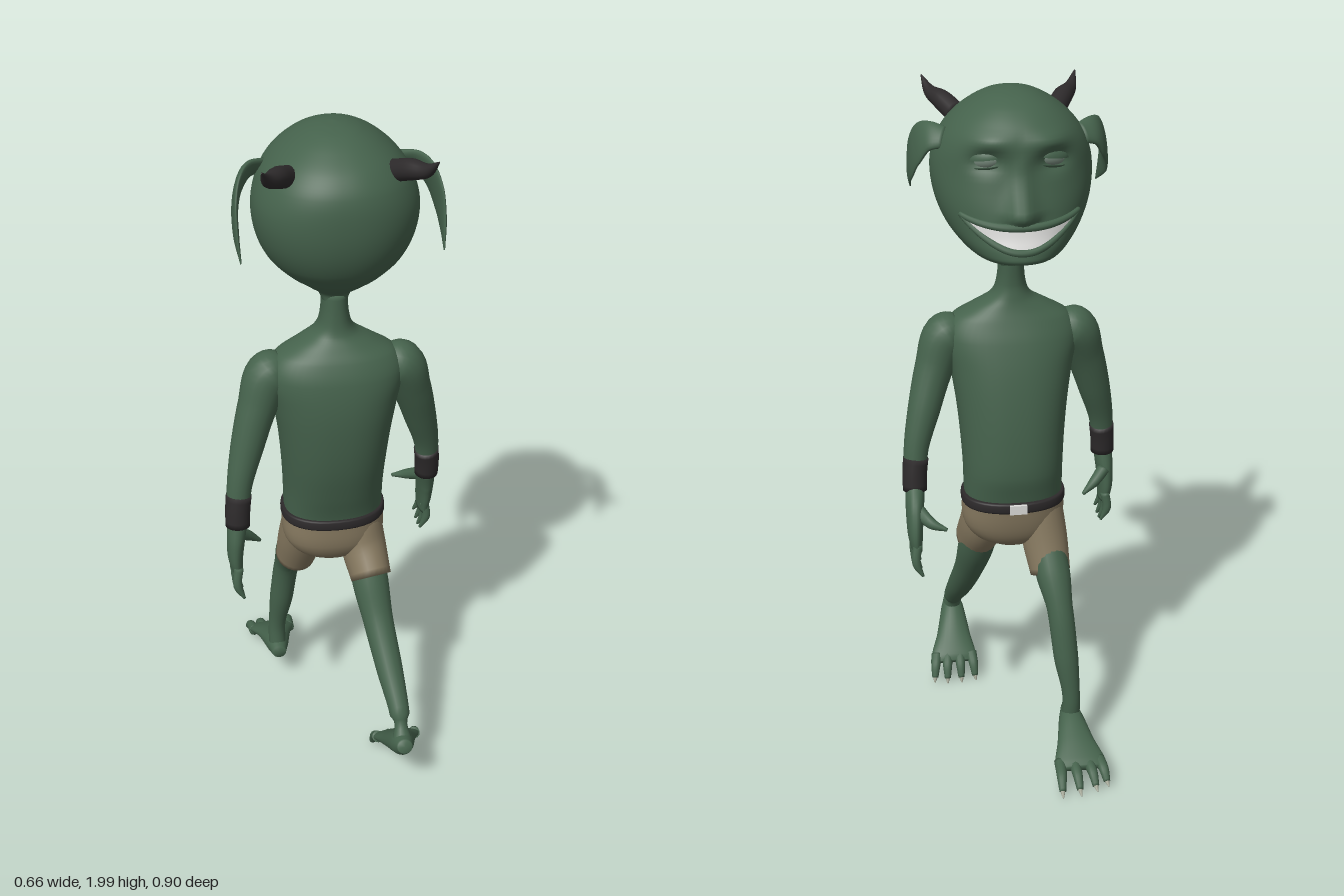
import * as THREE from 'three';

const mat = (name, color, side = THREE.FrontSide) => {
  const m = new THREE.MeshStandardMaterial({ color, side });
  m.name = name;
  return m;
};
const V = (x, y, z) => new THREE.Vector3(x, y, z);

// Smooth surface from rows x cols points; closed surfaces wrap round and get end caps.
function surface(rows, cols, point, closed = true) {
  const pos = [], idx = [];
  for (let i = 0; i < rows; i++) for (let j = 0; j < cols; j++) pos.push(...point(i, j).toArray());
  const at = (i, j) => i * cols + (j % cols);
  for (let i = 0; i < rows - 1; i++)
    for (let j = 0; j < (closed ? cols : cols - 1); j++)
      idx.push(at(i, j), at(i, j + 1), at(i + 1, j + 1), at(i, j), at(i + 1, j + 1), at(i + 1, j));
  if (closed) for (const i of [0, rows - 1]) {
    const c = V(0, 0, 0), n = pos.length / 3;
    for (let j = 0; j < cols; j++) c.add(point(i, j));
    pos.push(...c.divideScalar(cols).toArray());
    for (let j = 0; j < cols; j++) i ? idx.push(at(i, j), at(i, j + 1), n) : idx.push(at(i, j + 1), at(i, j), n);
  }
  const g = new THREE.BufferGeometry();
  g.setAttribute('position', new THREE.Float32BufferAttribute(pos, 3));
  g.setIndex(idx);
  g.computeVertexNormals();
  return g;
}

// Tapered tube through [x, y, z, radius along ref, radius across].
function limb(pts, ref, cols = 20, steps = 6) {
  const path = new THREE.CatmullRomCurve3(pts.map(p => V(p[0], p[1], p[2])));
  const radii = new THREE.CatmullRomCurve3(pts.map(p => V(p[3], p[4] ?? p[3], 0)));
  const rows = (pts.length - 1) * steps + 1;
  const rings = Array.from({ length: rows }, (_, i) => {
    const t = i / (rows - 1), d = path.getTangent(t);
    const u = ref.clone().addScaledVector(d, -ref.dot(d)).normalize();
    return { c: path.getPoint(t), r: radii.getPoint(t), u, v: d.clone().cross(u) };
  });
  return surface(rows, cols, (i, j) => {
    const a = j / cols * Math.PI * 2, { c, r, u, v } = rings[i];
    return c.clone().addScaledVector(u, r.x * Math.cos(a)).addScaledVector(v, r.y * Math.sin(a));
  });
}

// Smooth lookup in rows of [y, half width, back z, front z], rising in y.
function sample(tab, y) {
  let k = 0;
  while (k < tab.length - 2 && y > tab[k + 1][0]) k++;
  const slope = (i, c) => {
    const a = tab[Math.max(i - 1, 0)], b = tab[Math.min(i + 1, tab.length - 1)];
    return (b[c] - a[c]) / (b[0] - a[0]);
  };
  const p = tab[k], q = tab[k + 1], h = q[0] - p[0], t = (y - p[0]) / h, s = t * t * (3 - 2 * t);
  return [1, 2, 3].map(c => p[c] + (q[c] - p[c]) * s
    + h * t * (1 - t) * ((1 - t) * slope(k, c) - t * slope(k + 1, c)));
}
function sectionPoint(tab, a, y, n = 2.2) {
  const [w, zb, zf] = sample(tab, y);
  const sp = v => Math.sign(v) * Math.abs(v) ** (2 / n);
  return V(w * sp(Math.sin(a)), y, (zb + zf) / 2 + (zb - zf) / 2 * sp(Math.cos(a)));
}
function stack(tab, cols, point, sub = 5) {
  const ys = tab.slice(0, -1).flatMap((r, i) =>
    Array.from({ length: sub }, (_, k) => r[0] + (tab[i + 1][0] - r[0]) * k / sub));
  ys.push(tab.at(-1)[0]);
  return surface(ys.length, cols, (i, j) => point(j / cols * Math.PI * 2, ys[i]));
}

const HEAD = [[1.5, .034, .098, -.005], [1.53, .05, .1, -.025], [1.555, .085, .135, -.1], [1.575, .115, .165, -.195],
  [1.6, .147, .195, -.207], [1.65, .187, .235, -.19], [1.72, .214, .262, -.175], [1.8, .22, .27, -.157],
  [1.87, .2, .26, -.16], [1.92, .165, .228, -.14], [1.96, .118, .175, -.098], [1.985, .072, .125, -.05],
  [1.996, .036, .08, -.008], [2, .004, .04, .03]];
const TORSO = [[.78, .143, .12, -.088], [.83, .145, .13, -.1], [.9, .146, .15, -.115], [1, .152, .174, -.112],
  [1.1, .162, .187, -.1], [1.2, .177, .19, -.08], [1.29, .192, .178, -.053], [1.345, .168, .156, -.03],
  [1.38, .11, .132, -.016], [1.41, .06, .112, -.008], [1.45, .041, .104, -.003], [1.53, .034, .1, -.012]];
const PELVIS = [[.64, .06, .07, -.03], [.67, .115, .105, -.068], [.72, .148, .128, -.09], [.8, .15, .13, -.102]];

// Head outline with nose, brow ridges and eye sockets
function headPoint(a, y) {
  const p = sectionPoint(HEAD, a, y);
  if (Math.cos(a) > 0) return p;
  const bump = (x, cy, sx, sy) => Math.exp(-(((Math.abs(p.x) - x) / sx) ** 2) - ((y - cy) / sy) ** 2);
  const nose = y < 1.7 ? Math.max(0, (y - 1.672) / .028) : Math.max(0, (1.86 - y) / .16);
  const width = .018 + .022 * nose;
  p.z -= .043 * nose * Math.exp(-((p.x / width) ** 2));
  p.z -= .014 * bump(.085, 1.895, .055, .022) - .024 * bump(.088, 1.84, .045, .026);
  return p;
}

export function createModel() {
  const skin = mat('green skin', 0x45624c), dark = mat('dark horn and leather', 0x2d2a2b);
  const cloth = mat('tan cloth', 0x85785f), white = mat('teeth white', 0xdcdcda, THREE.DoubleSide);
  const eyeMat = mat('dull eye', 0x75877a), bone = mat('claw', 0xa3a696);
  const model = new THREE.Group();
  const add = (name, geo, material, parent = model) => {
    const m = new THREE.Mesh(geo, material);
    m.name = name;
    parent.add(m);
    return m;
  };
  const X = V(1, 0, 0), Y = V(0, 1, 0), Z = V(0, 0, 1);

  add('head', stack(HEAD, 112, headPoint), skin);
  add('torso', stack(TORSO, 48, (a, y) => sectionPoint(TORSO, a, y, 2.3)), skin);

  // Grinning mouth: curved plate of teeth between two lips
  const upper = u => 1.675 + .025 * u * u, lower = u => 1.612 + .088 * u * u;
  const onFace = (u, y, out) => {
    const a = Math.PI + u * .82;
    return sectionPoint(HEAD, a, y).add(V(Math.sin(a) * out, 0, Math.cos(a) * out));
  };
  add('teeth', surface(7, 33, (i, j) => {
    const u = j / 16 - 1;
    return onFace(u, THREE.MathUtils.lerp(lower(u), upper(u), i / 6), .005);
  }, false), white);
  for (const [name, edge, r] of [['upperLip', upper, .011], ['lowerLip', lower, .01]])
    add(name, limb(Array.from({ length: 13 }, (_, k) => {
      const u = k / 6 - 1;
      return [...onFace(u, edge(u), .003).toArray(), r * (1 - .4 * u * u)];
    }), Y, 10, 3), skin);

  for (const s of [1, -1]) {
    const side = s > 0 ? 'right' : 'left';
    // Half-closed eye
    const eye = new THREE.Group();
    eye.name = side + 'Eye';
    eye.position.set(s * .088, 1.842, -.108);
    eye.rotation.set(0, s * -.4, s * -.12);
    model.add(eye);
    add('eyeball', new THREE.SphereGeometry(1, 24, 16).scale(.046, .026, .024), eyeMat, eye);
    const lid = new THREE.SphereGeometry(1, 24, 12, 0, Math.PI * 2, 0, Math.PI / 2);
    add('upperLid', lid.clone().scale(.052, .031, .03).translate(0, .002, 0), skin, eye);
    add('lowerLid', lid.scale(.05, -.012, .028).translate(0, -.016, 0), skin, eye)
      .geometry.index.array.reverse();

    // Drooping ear and curved horn
    add(side + 'Ear', limb([[s * .185, 1.875, 0, .03, .014], [s * .225, 1.872, .025, .045, .014],
      [s * .252, 1.845, .06, .062, .011], [s * .267, 1.8, .1, .062, .009], [s * .27, 1.745, .15, .036, .007],
      [s * .265, 1.69, .196, .002, .002]], V(0, .7, .7), 20), skin);
    add(side + 'Horn', limb([[s * .135, 1.9, .15, .03], [s * .168, 1.925, .21, .028],
      [s * .198, 1.94, .26, .018], [s * .218, 1.977, .302, .002]], Y, 16), dark);
  }

  // Arms: shoulder to wrist, cuff, palm, four fingers and thumb
  const arm = (side, s, path, cuff, palm, tipZ, thumb) => {
    const g = new THREE.Group();
    g.name = side + 'Arm';
    model.add(g);
    add('arm', limb(path, Z), skin, g);
    add('wristCuff', limb(cuff, Z, 20, 3), dark, g);
    add('palm', limb(palm, Z), skin, g);
    const [px, py, pz] = palm.at(-1);
    for (let k = 0; k < 4; k++) {
      const f = k / 3 - .5, end = .615 + .03 * Math.abs(f);
      add('finger', limb([[px, py + .03, pz + f * .07, .014], [px + s * .006, (py + end) / 2 + .01, pz + f * .09 + (tipZ - pz) * .5, .013],
        [px - s * .012, end, tipZ + f * .1, .004]], Z, 10), skin, g);
    }
    add('thumb', limb(thumb, Z, 10), skin, g);
  };
  arm('right', 1,
    [[.14, 1.31, .06, .045], [.185, 1.288, .06, .066], [.222, 1.2, .045, .056], [.258, 1.08, .012, .047], [.285, .97, -.015, .036], [.292, .85, -.035, .03]],
    [[.287, .945, -.02, .037], [.292, .9, -.028, .036], [.293, .85, -.036, .035]],
    [[.293, .86, -.035, .028, .028], [.298, .8, -.075, .05, .026], [.3, .74, -.095, .055, .022], [.297, .69, -.1, .048, .016]],
    -.11, [[.29, .81, -.09, .02], [.255, .785, -.13, .016], [.212, .772, -.15, .005]]);
  arm('left', -1,
    [[-.14, 1.31, .06, .045], [-.185, 1.288, .065, .066], [-.222, 1.2, .085, .056], [-.258, 1.08, .11, .047], [-.285, .97, .135, .036], [-.294, .85, .152, .03]],
    [[-.288, .945, .14, .037], [-.293, .9, .147, .036], [-.295, .85, .152, .035]],
    [[-.295, .86, .15, .028, .028], [-.302, .8, .15, .042, .026], [-.305, .74, .148, .046, .022], [-.3, .69, .15, .04, .016]],
    .16, [[-.295, .8, .12, .02], [-.262, .77, .095, .016], [-.225, .738, .08, .005]]);

  // Legs in mid stride: leg, foot, four clawed toes
  const leg = (side, path, foot, toes, base) => {
    const g = new THREE.Group();
    g.name = side + 'Leg';
    model.add(g);
    add('leg', limb(path, X), skin, g);
    add('foot', limb(foot, X, 24), skin, g);
    for (const [bx, tx, ty, tz] of toes) {
      const a = V(bx, base[0], base[1]), b = V(tx, ty, tz), at = t => a.clone().lerp(b, t).toArray();
      const mid = at(.5);
      mid[1] += .012;
      add('toe', limb([[...at(0), .018], [...mid, .015], [...at(.82), .01]], X, 12), skin, g);
      add('claw', limb([[...at(.76), .009], [...at(1), .002]], X, 8, 2), bone, g);
    }
  };
  leg('left',
    [[-.09, .68, -.03, .05], [-.105, .58, -.088, .052], [-.12, .48, -.143, .039], [-.135, .33, -.175, .037], [-.15, .2, -.19, .027], [-.15, .11, -.183, .028]],
    [[-.15, .122, -.14, .022, .02], [-.15, .118, -.19, .036, .034], [-.15, .095, -.28, .055, .025], [-.152, .068, -.345, .075, .018], [-.152, .06, -.37, .068, .01]],
    [[-.21, -.226, .025, -.42], [-.176, -.19, .022, -.437], [-.134, -.14, .02, -.448], [-.094, -.085, .02, -.45]], [.065, -.335]);
  leg('right',
    [[.09, .68, .05, .05], [.1, .58, .1, .055], [.115, .47, .165, .046], [.135, .35, .26, .04], [.15, .25, .355, .03], [.15, .185, .4, .03]],
    [[.15, .2, .443, .022, .02], [.15, .178, .4, .036, .036], [.155, .12, .315, .055, .028], [.16, .078, .255, .073, .018], [.16, .065, .24, .066, .01]],
    [[.217, .23, .015, .2], [.182, .188, .01, .196], [.142, .142, .01, .196], [.104, .095, .012, .2]], [.083, .262]);

  // Shorts, belt and buckle
  add('shortsSeat', stack(PELVIS, 40, (a, y) => sectionPoint(PELVIS, a, y, 2.3)), cloth);
  add('shortsRightLeg', limb([[.075, .76, .03, .068, .085], [.085, .68, .06, .068, .08], [.1, .598, .125, .06, .074]], X, 24), cloth);
  add('shortsLeftLeg', limb([[-.078, .76, .005, .068, .085], [-.09, .66, -.03, .068, .072], [-.102, .565, -.07, .06, .061]], X, 24), cloth);
  const BELT = [[.784, .151, .132, -.104], [.79, .154, .135, -.107], [.81, .153, .135, -.108], [.816, .149, .131, -.104]];
  add('belt', stack(BELT, 40, (a, y) => sectionPoint(BELT, a, y, 2.3), 2), dark);
  add('buckle', new THREE.BoxGeometry(.05, .028, .009).translate(0, .8, -.11), white);
  return model;
}
